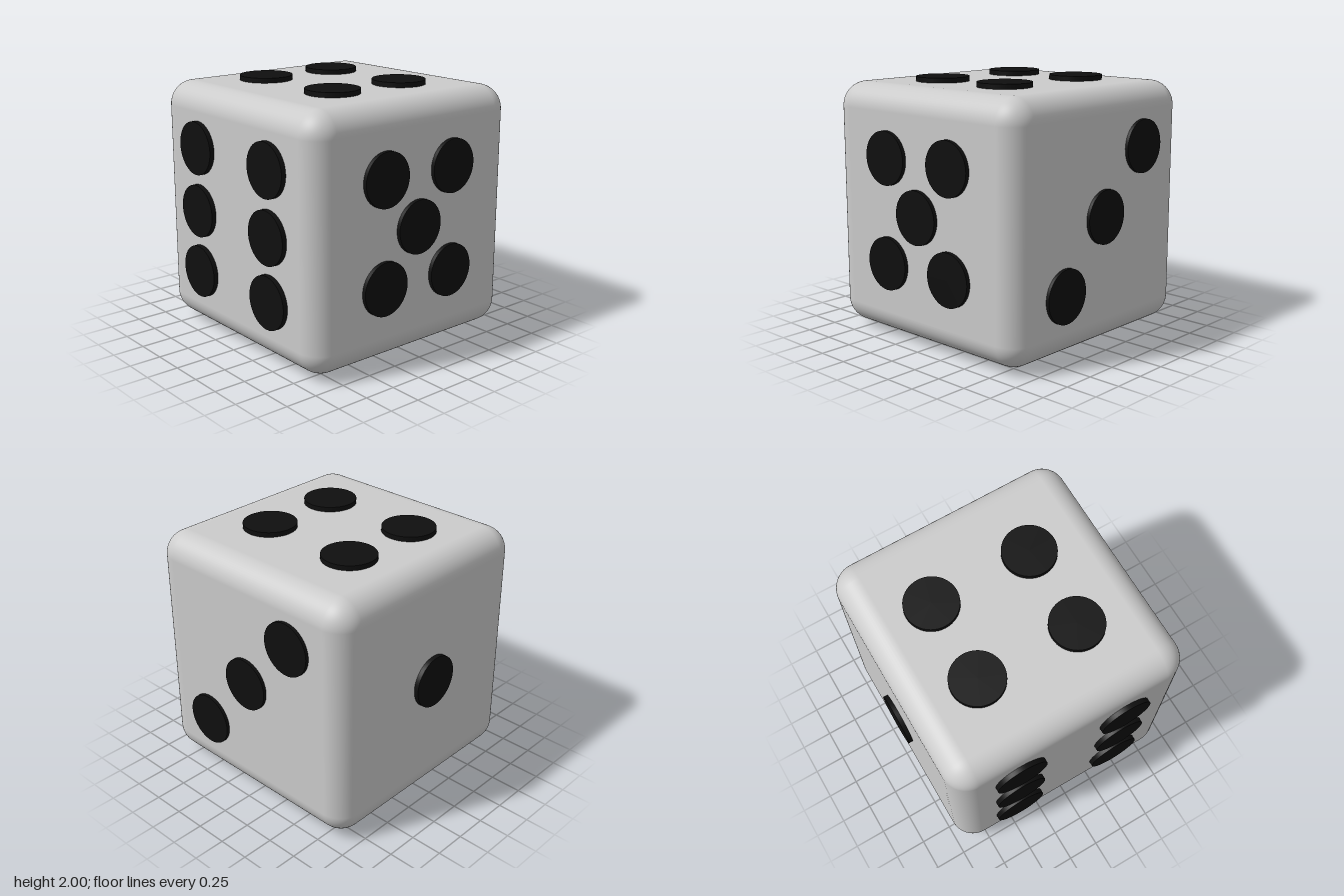
import * as THREE from 'three';
import { RoundedBoxGeometry } from 'three/addons/geometries/RoundedBoxGeometry.js';

const BODY = 1.925;        // cube edge length
const PIP_RADIUS = 0.206;
const PIP_DEPTH = 0.07;    // partly sunk into the body

// Each face: outward axis, height of its pips' outer surface, pip centres [x, y, z]
const faces = [
  { name: 'front', axis: [0, 0, 1], reach: 0.993,
    pips: [[-0.335, 1.43, 0], [0.32, 1.43, 0], [-0.01, 1.025, 0], [-0.335, 0.62, 0], [0.32, 0.62, 0]] },
  { name: 'back', axis: [0, 0, -1], reach: 0.998, pips: [[-0.01, 1.025, 0]] },
  { name: 'left', axis: [1, 0, 0], reach: 0.988,
    pips: [[0, 0.515, 0.44], [0, 1.025, 0], [0, 1.5, -0.44]] },
  { name: 'right', axis: [-1, 0, 0], reach: 1,
    pips: [-0.445, 0.435].flatMap(z => [0.515, 1.005, 1.5].map(y => [0, y, z])) },
  { name: 'top', axis: [0, 1, 0], reach: 1,
    pips: [-0.335, 0.32].flatMap(x => [-0.425, 0.385].map(z => [x, 0, z])) },
  { name: 'bottom', axis: [0, -1, 0], reach: 1,
    pips: [[0.495, 0, -0.44], [-0.48, 0, 0.44]] },
];

export function createModel() {
  const model = new THREE.Group();
  model.name = 'die';

  // Rounded cube
  const body = new THREE.Mesh(
    new RoundedBoxGeometry(BODY, BODY, BODY, 8, 0.19),
    new THREE.MeshStandardMaterial({ color: 0xcccccc }));
  body.name = 'body';
  body.position.y = 1;
  model.add(body);

  // Raised round pips
  const pipGeometry = new THREE.CylinderGeometry(PIP_RADIUS, PIP_RADIUS, PIP_DEPTH, 48);
  const pipMaterial = new THREE.MeshStandardMaterial({ color: 0x0f0f0f });
  const up = new THREE.Vector3(0, 1, 0);

  for (const { name, axis, reach, pips } of faces) {
    const normal = new THREE.Vector3(...axis);
    const group = new THREE.Group();
    group.name = `${name}Pips`;
    for (const centre of pips) {
      const pip = new THREE.Mesh(pipGeometry, pipMaterial);
      pip.name = 'pip';
      pip.quaternion.setFromUnitVectors(up, normal);
      pip.position.set(...centre).addScaledVector(normal, reach - PIP_DEPTH / 2);
      if (normal.y !== 0) pip.position.y += 1;
      group.add(pip);
    }
    model.add(group);
  }
  return model;
}
